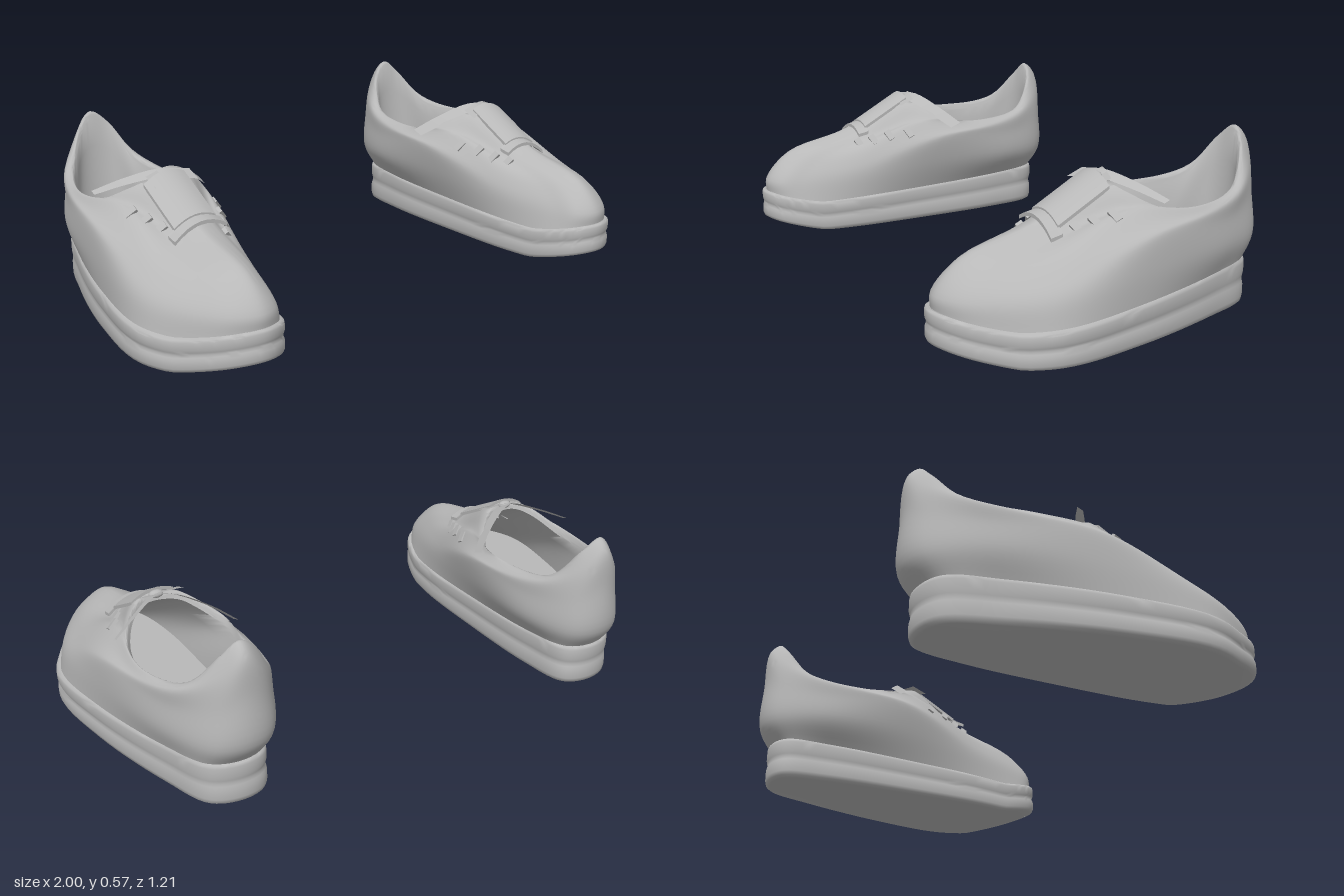
import * as THREE from 'three';
import { toCreasedNormals } from 'three/addons/utils/BufferGeometryUtils.js';

const V = (x, y, z) => new THREE.Vector3(x, y, z);
const RING = 98;
const SIDES = [.03, .18, .48, .74, .9, .972]; // side stations as fractions from heel to toe

// Plan of the sole: heel and toe z, outer and inner x at the side stations
const SOLE = { z: [-.56, .6], out: [.795, .87, .965, .995, .905, .825], inn: [.6, .566, .558, .568, .605, .655], y: [0, 0, 0, 0, 0, 0, 0, 0] };
// Loops of the upper from bulge to collar; y runs from heel to toe
const LOOPS = [
  { z: [-.6, .583], out: [.785, .88, .955, .965, .885, .815], inn: [.592, .522, .525, .575, .63, .668], y: [.23, .23, .235, .24, .205, .2, .2, .2] },
  { z: [-.597, .49], out: [.77, .87, .945, .93, .86, .8], inn: [.595, .522, .5, .572, .64, .683], y: [.4, .36, .33, .34, .278, .275, .288, .3] },
  { z: [-.588, .25], out: [.75, .852, .91, .865, .805, .765], inn: [.613, .537, .505, .565, .628, .672], y: [.54, .475, .4, .37, .397, .355, .362, .37] },
  { z: [-.548, .025], out: [.74, .815, .88, .875, .83, .78], inn: [.625, .572, .54, .53, .59, .645], y: [.577, .53, .418, .39, .402, .448, .476, .483] },
];

// Closed curve: heel, outer side, toe, inner side
function loop({ z: [heel, toe], out, inn, y }) {
  const side = xs => xs.map((x, i) => V(x, y[i + 1], THREE.MathUtils.lerp(heel, toe, SIDES[i])));
  return new THREE.CatmullRomCurve3(
    [V(.685, y[0], heel), ...side(out), V(.735, y[7], toe), ...side(inn).reverse()], true);
}
const outline = loop(SOLE);
const loops = LOOPS.map(loop);

// Heights of the sole along its length
const soleBottom = z => z > .4 ? .004 + .046 * Math.pow((z - .4) / .2, 1.15) : .004;
const soleTop = z => z > .4 ? .12 + .04 * Math.pow((z - .4) / .2, 1.3) : .12 + .038 * Math.min(1, (.4 - z) / .9);

// Profile of the upper at one place around the foot, from sole to rolled lip
function profile(u) {
  const base = outline.getPoint(u);
  const pts = loops.map(c => c.getPoint(u)), rim = pts[3];
  pts.unshift(V(.75 + (base.x - .75) * .95, soleTop(base.z) - .012, base.z * .972));
  pts.push(V(.71 + (rim.x - .71) * .95, rim.y - .025, -.25 + (rim.z + .25) * .96));
  return new THREE.CatmullRomCurve3(pts);
}
const onUpper = (station, level) => profile(station / 14).getPoint(level / 5);

// Skin a stack of closed rings of equal length
function loft(rings) {
  const n = RING, pos = [], idx = [];
  rings.forEach(r => r.forEach(p => pos.push(p.x, p.y, p.z)));
  for (let j = 0; j < rings.length - 1; j++) {
    for (let i = 0; i < n; i++) {
      const k = (i + 1) % n, a = j * n + i, b = j * n + k, c = b + n, d = a + n;
      idx.push(a, d, b, b, d, c);
    }
  }
  const g = new THREE.BufferGeometry();
  g.setAttribute('position', new THREE.Float32BufferAttribute(pos, 3));
  g.setIndex(idx);
  return g;
}
const ringOf = fn => Array.from({ length: RING }, (_, i) => fn(i / RING));

// Shell, rolled collar, lining and insole in one skin
function upperGeometry() {
  const curves = ringOf(profile), rings = [];
  for (let j = 0; j <= 30; j++) rings.push(curves.map(c => c.getPoint(j / 30)));
  const floor = rings[0].map(p => V(.72 + (p.x - .72) * .95, .18, p.z * .93));
  const lip = rings[30];
  for (let j = 1; j <= 4; j++) rings.push(lip.map((p, i) => p.clone().lerp(floor[i], j / 4)));
  rings.push(ringOf(() => V(.72, .18, -.1)));
  return toCreasedNormals(loft(rings), 0.9);
}

// Platform sole with a shallow groove round the side and a raised toe
function soleGeometry() {
  const steps = [[0, -.016], [.05, -.004], [.15, 0], [.38, 0], [.46, -.003], [.53, -.005], [.6, -.003], [.68, 0], [.9, 0], [.96, -.002], [1, -.008]];
  const rings = steps.map(([f, o]) => ringOf(u => {
    const p = outline.getPoint(u);
    const y = THREE.MathUtils.lerp(soleBottom(p.z), soleTop(p.z), f);
    return V(.75 + (p.x - .75) * (1 + o / .2), y, p.z * (1 + o / .58));
  }));
  // caps close along the long axis so they follow the raised toe
  const cap = height => ringOf(u => {
    const z = outline.getPoint(u).z * .95;
    return V(.73, height(z), z);
  });
  rings.unshift(cap(soleBottom));
  rings.push(cap(soleTop));
  return toCreasedNormals(loft(rings), 0.9);
}

// Thin curved panel over the instep
function instepPanel(w, z0, z1, lift, thick) {
  const g = new THREE.BoxGeometry(w, thick, z1 - z0, 8, 1, 8);
  g.translate(.725, 0, (z0 + z1) / 2);
  const p = g.attributes.position;
  for (let i = 0; i < p.count; i++) {
    const x = p.getX(i), z = p.getZ(i);
    const y = z < .2 ? .39 + (.2 - z) * .55 : .39 - (z - .2) * .2;
    p.setY(i, p.getY(i) + y + lift - 4 * (x - .71) ** 2);
  }
  g.computeVertexNormals();
  return g;
}

// Flat tapering ribbon along a curve
function ribbon(points, w0, w1) {
  const c = new THREE.CatmullRomCurve3(points.map(p => V(...p))), pos = [], idx = [], n = 12;
  for (let i = 0; i <= n; i++) {
    const p = c.getPoint(i / n), w = THREE.MathUtils.lerp(w0, w1, i / n) / 2;
    pos.push(p.x, p.y + w * .4, p.z - w, p.x, p.y - w * .4, p.z + w);
    if (i < n) idx.push(2 * i, 2 * i + 1, 2 * i + 2, 2 * i + 1, 2 * i + 3, 2 * i + 2);
  }
  const g = new THREE.BufferGeometry();
  g.setAttribute('position', new THREE.Float32BufferAttribute(pos, 3));
  g.setIndex(idx);
  g.computeVertexNormals();
  return g;
}

function buildShoe(name, mat) {
  const shoe = new THREE.Group();
  shoe.name = name;
  const add = (part, geo) => {
    const m = new THREE.Mesh(geo, mat);
    m.name = part;
    shoe.add(m);
    return m;
  };
  add('sole', soleGeometry());
  add('upper', upperGeometry());
  add('lacePanel', instepPanel(.15, .02, .2, .008, .012));
  add('tongueEdge', instepPanel(.19, .195, .235, .002, .012));

  // short lace ends down both sides of the instep
  const tab = new THREE.BoxGeometry(.042, .012, .024);
  for (let i = 0; i < 4; i++) {
    for (const [station, level, lean] of [[10.2 - i * .37, 2.65, .9], [4.05 + i * .38, 3, -.7]]) {
      const t = add('laceTab', tab);
      t.position.copy(onUpper(station, level));
      t.rotation.set(.45, 0, lean);
    }
  }
  // loose bow ends crossing above the opening
  add('innerBowEnd', ribbon([[.78, .475, .03], [.68, .485, -.01], [.57, .44, -.07], [.495, .39, -.125]], .06, .04));
  add('outerBowEnd', ribbon([[.62, .475, .03], [.72, .49, 0], [.82, .465, -.06], [.91, .43, -.115]], .055, .02));
  add('bowKnot', new THREE.SphereGeometry(.02, 12, 8).scale(1.3, .7, .8).translate(.715, .483, .012));
  return shoe;
}

export function createModel() {
  const grey = new THREE.MeshStandardMaterial({ color: 0xb8b8b8, side: THREE.DoubleSide });
  grey.name = 'grey';
  const model = new THREE.Group();
  model.name = 'shoes';
  const right = buildShoe('rightShoe', grey);
  right.scale.x = -1;
  model.add(buildShoe('leftShoe', grey), right);
  return model;
}
